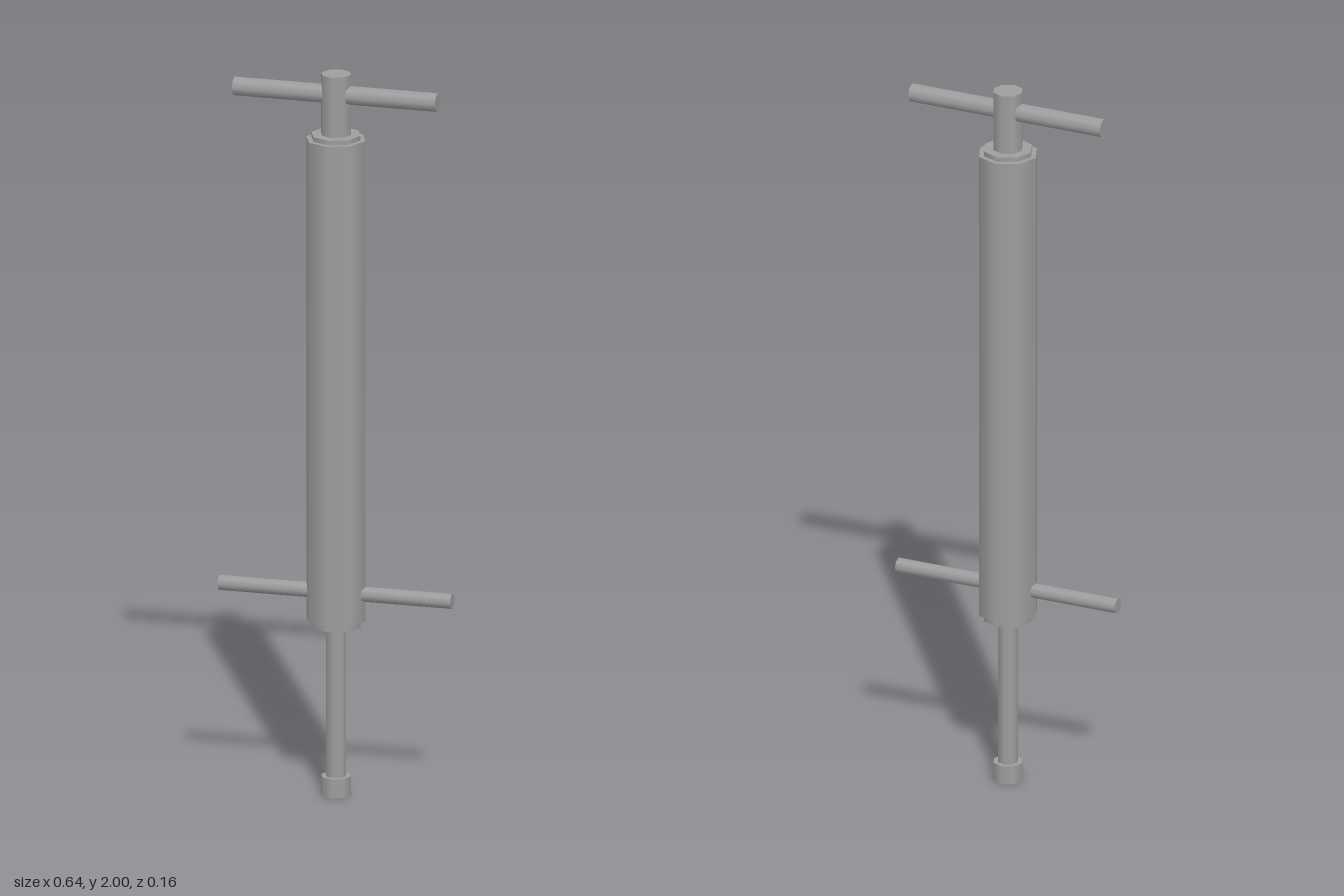
import * as THREE from 'three';

export function createModel() {
  const group = new THREE.Group();
  const darkGrey = new THREE.MeshStandardMaterial({ color: 0x9e9e9e });

  // Upright eight-sided cylinder between two heights
  function upright(name, radius, y0, y1) {
    const mesh = new THREE.Mesh(new THREE.CylinderGeometry(radius, radius, y1 - y0, 8), darkGrey);
    mesh.name = name;
    mesh.position.y = (y0 + y1) / 2;
    group.add(mesh);
  }

  // Crossbar running along x
  function crossbar(name, radius, halfLength, y) {
    const geometry = new THREE.CylinderGeometry(radius, radius, halfLength * 2, 8);
    geometry.rotateZ(Math.PI / 2);
    const mesh = new THREE.Mesh(geometry, darkGrey);
    mesh.name = name;
    mesh.position.y = y;
    group.add(mesh);
  }

  // Foot and plunger rod
  upright('foot', 0.041, 0, 0.053);
  upright('rod', 0.028, 0.053, 0.468);

  // Barrel with a stepped collar at each end
  upright('lowerCollar', 0.068, 0.468, 0.487);
  upright('barrel', 0.082, 0.487, 1.82);
  upright('upperCollar', 0.068, 1.82, 1.833);

  // Top post and the two handles
  upright('topPost', 0.041, 1.833, 2);
  crossbar('topHandle', 0.026, 0.281, 1.943);
  crossbar('lowerHandle', 0.021, 0.322, 0.562);

  return group;
}
